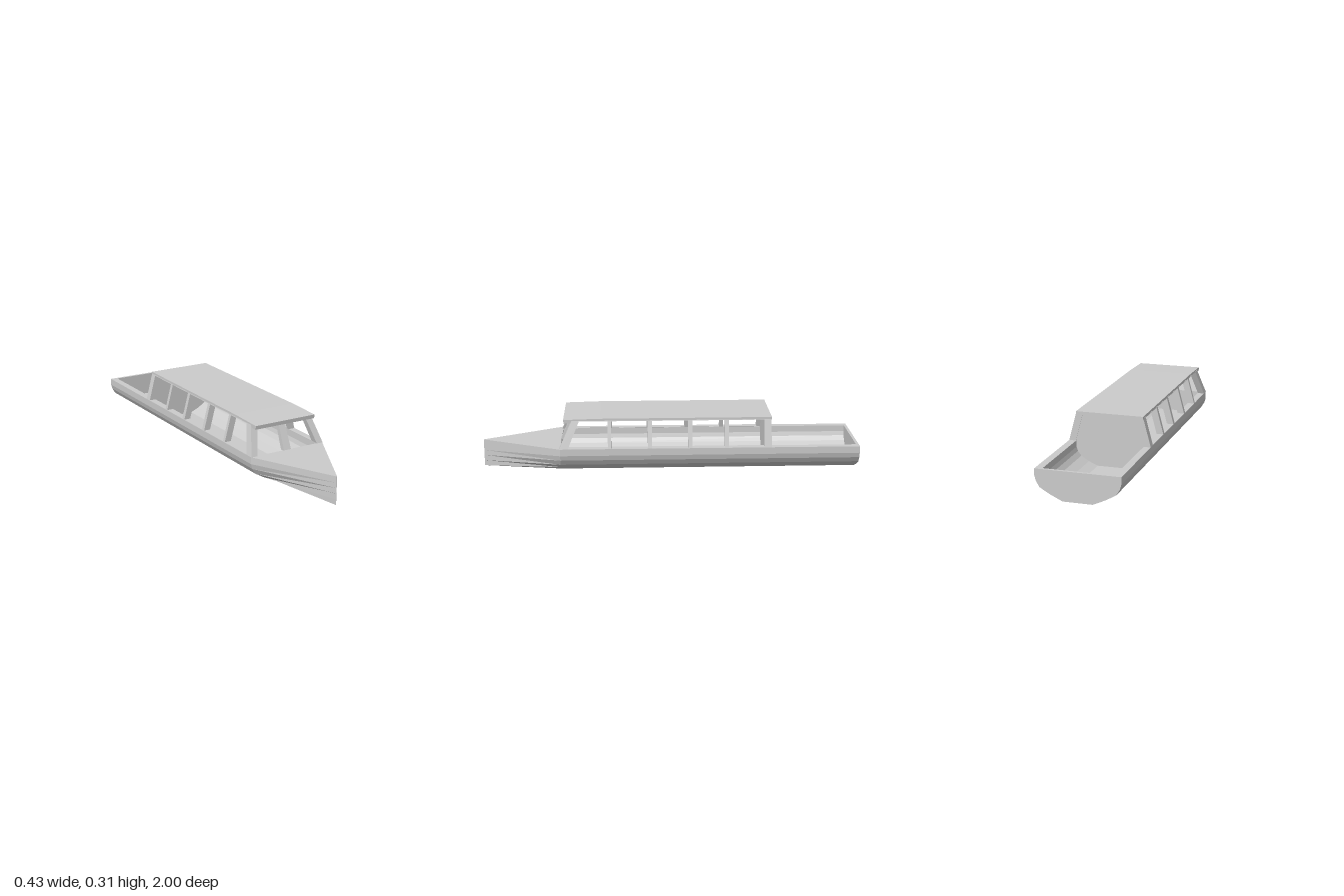
import * as THREE from 'three';

const TOP = 0.151, WALL = 0.036;
const material = new THREE.MeshStandardMaterial({ color: 0xcccccc, flatShading: true });

// Half sections of the hull, from gunwale to bottom
const OUTER = [[0.215, TOP], [0.215, 0.115], [0.207, 0.088], [0.19, 0.06], [0.138, 0.03], [0.075, 0.001]];
const INNER = [[0.178, TOP], [0.177, 0.118], [0.17, 0.096], [0.152, 0.073], [0.112, 0.048], [0.065, 0.028]];

const mirrored = (half) => [...half, ...half.map(([x, y]) => [-x, y]).reverse()];
const toShape = (pts) => new THREE.Shape(pts.map(([x, y]) => new THREE.Vector2(x, y)));

// Outer half width of the leaning cabin sides at height y
const cabinX = (y) => 0.215 - 0.266 * (y - TOP);
// Raked windscreen line
const screenZ = (y) => 0.585 - 0.46 * (y - TOP);

function addMesh(parent, name, geometry) {
  geometry.computeVertexNormals();
  const mesh = new THREE.Mesh(geometry, material);
  mesh.name = name;
  parent.add(mesh);
  return mesh;
}

// Extrude a cross-section along z
function alongZ(shape, z0, z1) {
  const g = new THREE.ExtrudeGeometry(shape, { depth: z1 - z0, bevelEnabled: false });
  return g.translate(0, 0, z0);
}

// Extrude a (z, y) side profile across x; xAt gives x from depth and height
function acrossX(shape, depth, xAt) {
  const g = new THREE.ExtrudeGeometry(shape, { depth, bevelEnabled: false });
  const p = g.attributes.position;
  for (let i = 0; i < p.count; i++) {
    const z = p.getX(i), y = p.getY(i), d = p.getZ(i);
    p.setXYZ(i, xAt(d, y), y, z);
  }
  return g;
}

function buildHull() {
  const hull = new THREE.Group();
  hull.name = 'hull';
  const full = mirrored(OUTER);

  // Open trough with thick sides
  addMesh(hull, 'hullBody', alongZ(toShape([...full, ...mirrored(INNER).reverse()]), -0.985, 0.58));
  addMesh(hull, 'transom', alongZ(toShape(full), -1, -0.985));

  // Decked bow, narrowing to an upright stem
  const bow = alongZ(toShape(full), 0.58, 1);
  const p = bow.attributes.position;
  for (let i = 0; i < p.count; i++) {
    const t = (p.getZ(i) - 0.58) / 0.42;
    p.setX(i, p.getX(i) * (1 - 0.995 * t));
    if (p.getY(i) > 0.14) p.setY(i, TOP - 0.004 * t);
  }
  addMesh(hull, 'bow', bow);
  return hull;
}

function buildCabin() {
  const cabin = new THREE.Group();
  cabin.name = 'cabin';
  const high = 0.295, sill = 0.153, head = 0.292;

  // Side walls with five window openings
  const windows = [[0.33, null], [0.12, 0.312], [-0.092, 0.098], [-0.286, -0.115], [-0.494, -0.307]];
  for (const side of [1, -1]) {
    const wall = toShape([[-0.532, TOP], [screenZ(TOP), TOP], [screenZ(high), high], [-0.532, high]]);
    for (const [back, front] of windows) {
      const low = front ?? screenZ(sill) - 0.045;
      const up = front ?? screenZ(head) - 0.04;
      wall.holes.push(new THREE.Path([[back, sill], [back, head], [up, head], [low, sill]]
        .map(([z, y]) => new THREE.Vector2(z, y))));
    }
    const inset = side > 0 ? 0 : WALL;
    addMesh(cabin, side > 0 ? 'leftWall' : 'rightWall',
      acrossX(wall, WALL, (d, y) => side * cabinX(y) - d + inset));
  }

  // Rear bulkhead reaching down to the hull floor
  const half = [[cabinX(high) - WALL + 0.002, high], [cabinX(TOP) - WALL + 0.002, TOP], ...INNER.slice(1)];
  addMesh(cabin, 'rearBulkhead', alongZ(toShape(mirrored(half)), -0.53, -0.515));

  // Windscreen centre post, slightly narrower at the top
  const post = toShape([[screenZ(TOP) - 0.028, TOP - 0.003], [screenZ(TOP), TOP - 0.003],
    [screenZ(0.285), 0.285], [screenZ(0.285) - 0.028, 0.285]]);
  addMesh(cabin, 'windscreenPost',
    acrossX(post, 1, (d, y) => (0.5 - d) * 2 * (0.021 - 0.025 * (y - TOP))));

  // Roof slab with a deeper visor overhanging the windscreen
  const roof = toShape([[-0.534, 0.292], [0.485, 0.292], [0.495, 0.281], [0.56, 0.281],
    [0.562, 0.301], [0.37, 0.306], [-0.534, 0.306]]);
  addMesh(cabin, 'roof', acrossX(roof, 0.352, (d) => 0.176 - d));
  return cabin;
}

export function createModel() {
  const boat = new THREE.Group();
  boat.name = 'canalBoat';
  boat.add(buildHull(), buildCabin());
  boat.position.y = -0.001;
  return boat;
}
